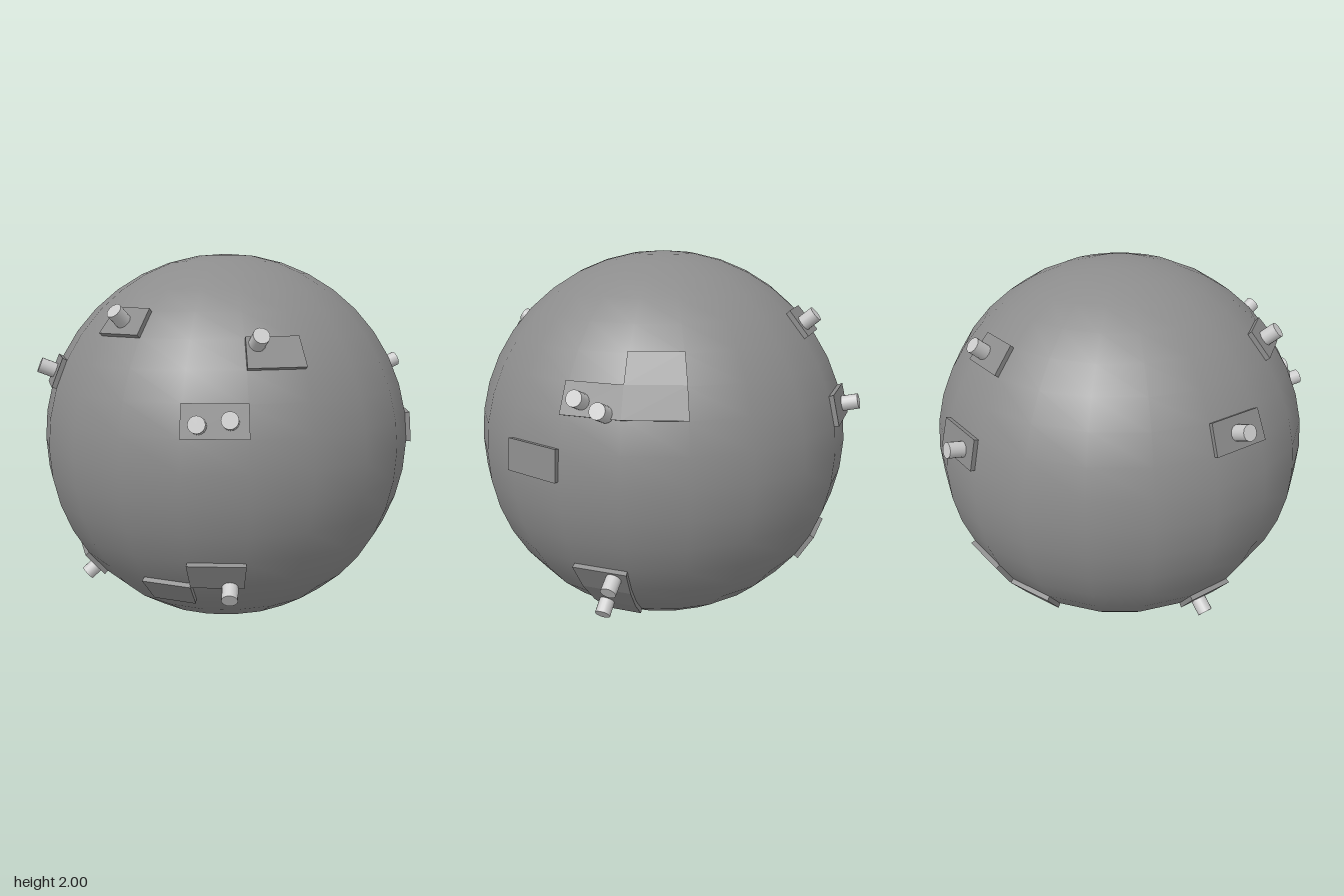
import * as THREE from 'three';

const STEP_LON = 18, STEP_LAT = 9; // size of one hull facet in degrees
const PANEL_TOP = 1.025, PANEL_BASE = 0.99;

// Point at a longitude (0 = front, + toward +x) and latitude, in degrees
function polar(lon, lat, r) {
  const a = THREE.MathUtils.degToRad(lon), b = THREE.MathUtils.degToRad(lat);
  return new THREE.Vector3(
    r * Math.cos(b) * Math.sin(a), r * Math.sin(b), r * Math.cos(b) * Math.cos(a));
}

// Raised plate covering a set of facets [column, row], walled only along its outline
function panelGeometry(cells) {
  const taken = new Set(cells.map(([i, j]) => i + ',' + j));
  const pos = [];
  const quad = (a, b, c, d) => [a, b, c, a, c, d].forEach(p => pos.push(p.x, p.y, p.z));
  for (const [i, j] of cells) {
    const corners = [[i, j], [i + 1, j], [i + 1, j + 1], [i, j + 1]];
    const neighbours = [[i, j - 1], [i + 1, j], [i, j + 1], [i - 1, j]];
    const ring = r => corners.map(([u, v]) => polar(u * STEP_LON, v * STEP_LAT, r));
    const top = ring(PANEL_TOP), base = ring(PANEL_BASE);
    quad(...top);
    neighbours.forEach(([u, v], k) => {
      const n = (k + 1) % 4;
      if (!taken.has(u + ',' + v)) quad(base[k], base[n], top[n], top[k]);
    });
  }
  const g = new THREE.BufferGeometry();
  g.setAttribute('position', new THREE.Float32BufferAttribute(pos, 3));
  g.computeVertexNormals();
  return g;
}

// Facets of each plate, and its pegs as [longitude, latitude]
const PANELS = [
  { name: 'frontLeftPanel', cells: [[2, 0]], pegs: [] },
  { name: 'frontRightPanel', cells: [[-3, 1]], pegs: [[-49.2, 12.5], [-41, 13.6]] },
  { name: 'upperFrontPanel', cells: [[-2, 3]], pegs: [[-32.3, 34]] },
  { name: 'upperRightPanel', cells: [[-5, 4]], pegs: [[-81.7, 40.6]] },
  { name: 'upperBackPanel', cells: [[8, 4]], pegs: [[149.8, 40.1]] },
  { name: 'backPanel', cells: [[8, 1]], pegs: [[156, 13.2]] },
  { name: 'backRightPanel', cells: [[-7, 2]], pegs: [[-117.4, 22.6]] },
  { name: 'cornerPanel', cells: [[3, 2], [4, 2], [4, 3]], pegs: [[60, 22.1], [67, 19.5]] },
  { name: 'lowerLeftPanel', cells: [[3, -4], [3, -5], [3, -6]], pegs: [[67.1, -30.1], [59.8, -44.6]] },
  { name: 'lowerBackPanel', cells: [[8, -4]], pegs: [] },
  { name: 'bottomBackPanel', cells: [[9, -5]], pegs: [] },
  { name: 'lowerFrontPanel', cells: [[-3, -4]], pegs: [[-40.8, -35.8]] },
  { name: 'lowerRightPanel', cells: [[-4, -5]], pegs: [] },
  { name: 'bottomRightPanel', cells: [[-7, -5]], pegs: [[-117.8, -43.5]] },
];

export function createModel() {
  const model = new THREE.Group();
  model.name = 'studdedSphere';
  const hullMat = new THREE.MeshStandardMaterial({ color: 0x8c8c8c });
  const panelMat = new THREE.MeshStandardMaterial({ color: 0x8c8c8c, flatShading: true });
  const pegMat = new THREE.MeshStandardMaterial({ color: 0xcccccc });

  const body = new THREE.Group();
  body.name = 'body';
  body.position.y = 1;
  model.add(body);

  // Round hull
  const hull = new THREE.Mesh(new THREE.SphereGeometry(1, 20, 20), hullMat);
  hull.name = 'hull';
  body.add(hull);

  const pegGeo = new THREE.CylinderGeometry(0.04, 0.04, 0.1, 16);
  const up = new THREE.Vector3(0, 1, 0);

  for (const { name, cells, pegs } of PANELS) {
    const group = new THREE.Group();
    group.name = name;
    body.add(group);

    // Plate
    const plate = new THREE.Mesh(panelGeometry(cells), panelMat);
    plate.name = 'plate';
    group.add(plate);

    // Pegs, standing square to the facet below them
    for (const [lon, lat] of pegs) {
      const normal = polar(
        (Math.floor(lon / STEP_LON) + 0.5) * STEP_LON,
        (Math.floor(lat / STEP_LAT) + 0.5) * STEP_LAT, 1);
      const peg = new THREE.Mesh(pegGeo, pegMat);
      peg.name = 'peg';
      peg.position.copy(polar(lon, lat, 1.045));
      peg.quaternion.setFromUnitVectors(up, normal);
      group.add(peg);
    }
  }
  return model;
}
